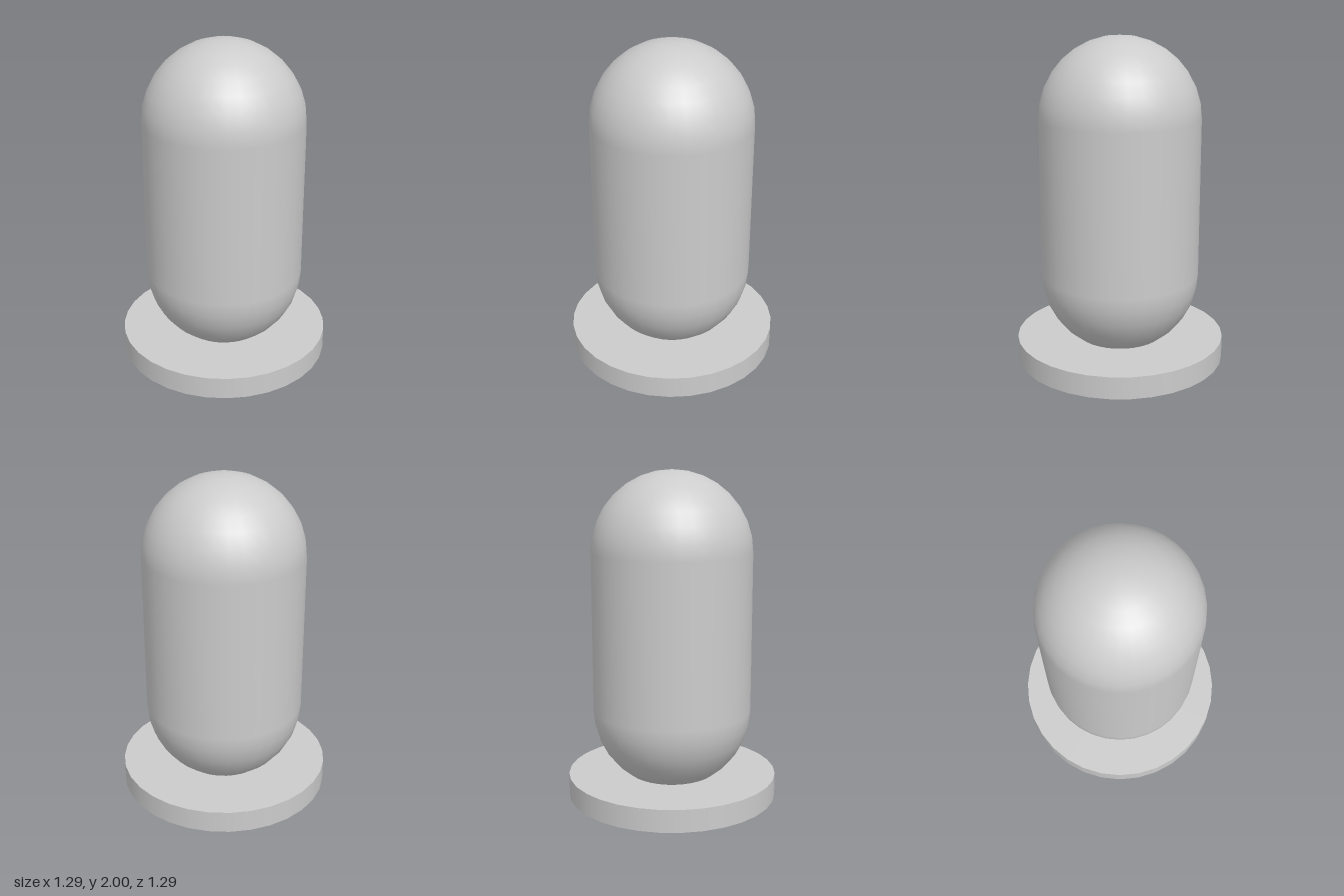
import * as THREE from 'three';

export function createModel() {
  const group = new THREE.Group();
  const material = new THREE.MeshStandardMaterial({ color: 0xcccccc });

  const add = (name, geometry, y) => {
    const mesh = new THREE.Mesh(geometry, material);
    mesh.name = name;
    mesh.position.y = y;
    group.add(mesh);
  };

  // Flat round base
  const baseHeight = 0.138;
  add('base', new THREE.CylinderGeometry(0.643, 0.643, baseHeight, 32), baseHeight / 2);

  // Upright capsule, its lower end sunk into the base
  const radius = 0.485;
  const straight = 0.97;
  add('body', new THREE.CapsuleGeometry(radius, straight, 8, 32), 2 - radius - straight / 2);

  return group;
}
